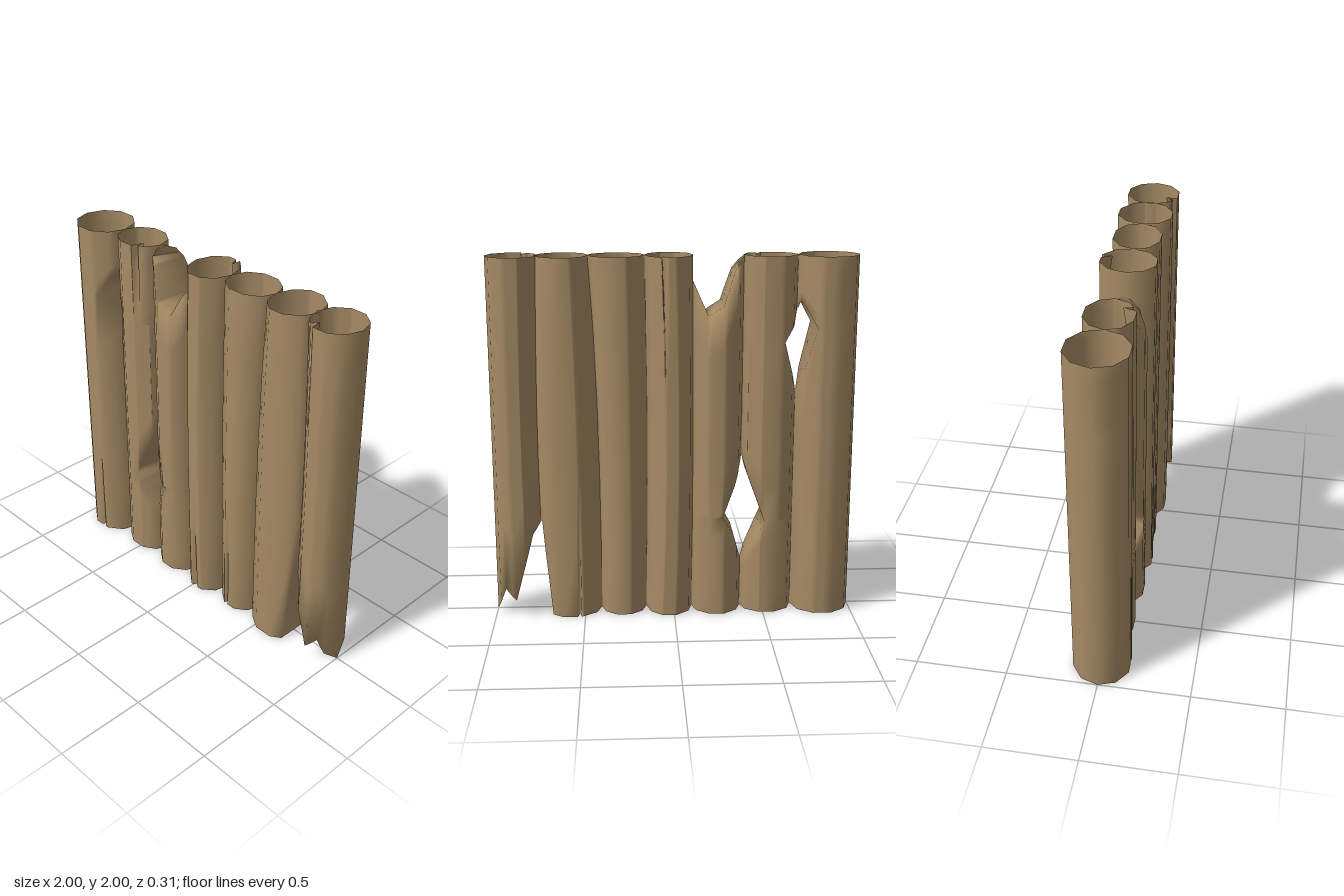
import * as THREE from 'three';
import { mergeVertices } from 'three/addons/utils/BufferGeometryUtils.js';

const ROWS = 5;

// Height of a piecewise-linear [x, y] profile at x
function at(profile, x) {
  if (x <= profile[0][0]) return profile[0][1];
  for (let i = 1; i < profile.length; i++) {
    const [x0, y0] = profile[i - 1], [x1, y1] = profile[i];
    if (x <= x1) return y0 + (y1 - y0) * (x - x0) / (x1 - x0);
  }
  return profile[profile.length - 1][1];
}

const bump = (x, c, w) => Math.max(0, 1 - Math.abs(x - c) / w);

// Gentle bend shared by neighbouring logs so they keep touching
function bend(x, y) {
  const arc = Math.sin(Math.PI * y / 2);
  return x - 0.025 * bump(x, 0.05, 0.2) * arc
    + 0.05 * bump(x, 0.41, 0.24) * (y / 2) ** 3
    + 0.018 * bump(x, 0.735, 0.2) * arc;
}

// A log is a ten-sided tube whose bands run between a lower and an upper
// profile; sloping profile edges are closed by a cut wall from front to back.
function logGeometry({ x0, x1, front, back, bands, cracks = [] }) {
  const pos = [];
  const quad = (a, b, c, d) => pos.push(...a, ...b, ...c, ...a, ...c, ...d);
  const section = [];
  for (let k = 0; k <= 5; k++) {
    const a = Math.PI * k / 5;
    section.push([(x0 + x1) / 2 - (x1 - x0) / 2 * Math.cos(a), k % 5 ? Math.sin(a) / 0.951 : 0]);
  }
  const point = (x, y, side) => {
    let z = at(section, x) * (side > 0 ? front : back);
    for (const c of cracks) {
      if (c.side === side && Math.abs(x - c.x) < 1e-6) {
        z -= 0.055 * Math.max(0, 1 - Math.abs(y - c.end) / c.length);
      }
    }
    return [bend(x, y), y, side * z];
  };
  for (const [lower, upper] of bands) {
    const xs = [...section, ...lower, ...upper].map(p => p[0]);
    for (const c of cracks) xs.push(c.x - 0.025, c.x, c.x + 0.01);
    const cols = [...new Set(xs.map(x => +x.toFixed(4)))]
      .filter(x => x >= x0 - 1e-6 && x <= x1 + 1e-6).sort((a, b) => a - b);
    for (let i = 0; i + 1 < cols.length; i++) {
      const a = cols[i], b = cols[i + 1];
      const la = at(lower, a), lb = at(lower, b), ua = at(upper, a), ub = at(upper, b);
      for (let r = 0; r < ROWS; r++) {
        const s = r / ROWS, t = (r + 1) / ROWS;
        const ya = la + (ua - la) * s, yb = lb + (ub - lb) * s;
        const yc = lb + (ub - lb) * t, yd = la + (ua - la) * t;
        quad(point(a, ya, 1), point(b, yb, 1), point(b, yc, 1), point(a, yd, 1));
        quad(point(b, yb, -1), point(a, ya, -1), point(a, yd, -1), point(b, yc, -1));
      }
      if (Math.abs(ua - ub) > 1e-4) {
        quad(point(a, ua, 1), point(b, ub, 1), point(b, ub, -1), point(a, ua, -1));
      }
      if (Math.abs(la - lb) > 1e-4) {
        quad(point(a, la, -1), point(b, lb, -1), point(b, lb, 1), point(a, la, 1));
      }
    }
  }
  const geo = new THREE.BufferGeometry();
  geo.setAttribute('position', new THREE.Float32BufferAttribute(pos, 3));
  const merged = mergeVertices(geo, 1e-4);
  merged.computeVertexNormals();
  return merged;
}

const ground = [[-1, 0], [1, 0]];
const top = [[-1, 2], [1, 2]];

const logs = [
  { // right half of the upper hole cut away
    x0: -1, x1: -0.67, front: 0.15, back: 0.155,
    bands: [
      [ground, [[-1, 1.62], [-0.765, 1.62], [-0.67, 1.26]]],
      [[[-1, 1.62], [-0.765, 1.62], [-0.685, 1.76], [-0.67, 1.7]], top],
    ],
    cracks: [{ x: -0.81, end: 0, side: 1, length: 0.4 }],
  },
  { // holes on both sides
    x0: -0.67, x1: -0.375, front: 0.12, back: 0.125,
    bands: [
      [ground, [[-0.67, 0.54], [-0.5, 0.54], [-0.375, 0.28]]],
      [[[-0.67, 0.54], [-0.5, 0.54], [-0.405, 0.8], [-0.375, 0.91]],
        [[-0.67, 1.26], [-0.595, 1.54], [-0.375, 1.54]]],
      [[[-0.67, 1.72], [-0.65, 1.63], [-0.595, 1.54], [-0.375, 1.54]], top],
    ],
    cracks: [{ x: -0.455, end: 2, side: 1, length: 0.42 }],
  },
  { // broken top, hole on one side
    x0: -0.38, x1: -0.1, front: 0.13, back: 0.14,
    bands: [
      [ground, [[-0.38, 0.28], [-0.33, 0.46], [-0.265, 0.57], [-0.1, 0.57]]],
      [[[-0.38, 0.91], [-0.335, 0.74], [-0.265, 0.57], [-0.1, 0.57]],
        [[-0.38, 2], [-0.32, 1.92], [-0.26, 1.74], [-0.18, 1.69], [-0.1, 1.87]]],
    ],
  },
  {
    x0: -0.105, x1: 0.155, front: 0.14, back: 0.148,
    bands: [[ground, top]],
    cracks: [{ x: 0.06, end: 2, side: -1, length: 0.4 }, { x: 0.025, end: 0, side: 1, length: 0.3 }],
  },
  {
    x0: 0.155, x1: 0.41, front: 0.12, back: 0.128,
    bands: [[ground, top]],
    cracks: [{ x: 0.26, end: 0, side: 1, length: 0.4 }],
  },
  { // corner broken off at the foot
    x0: 0.405, x1: 0.74, front: 0.14, back: 0.15,
    bands: [[[[0.405, 0], [0.68, 0], [0.72, 0.54], [0.74, 0.53]], top]],
    cracks: [{ x: 0.53, end: 0, side: -1, length: 0.4 }],
  },
  { // broken foot
    x0: 0.72, x1: 1, front: 0.138, back: 0.14,
    bands: [[[[0.72, 0.54], [0.77, 0.48], [0.88, 0.1], [0.94, 0.16], [1, 0]], top]],
    cracks: [{ x: 0.81, end: 2, side: 1, length: 0.3 }],
  },
];

export function createModel() {
  const group = new THREE.Group();
  group.name = 'logPalisade';
  const wood = new THREE.MeshStandardMaterial({ color: 0xa68b65, side: THREE.DoubleSide });
  wood.name = 'weathered wood';
  logs.forEach((spec, i) => {
    const mesh = new THREE.Mesh(logGeometry(spec), wood);
    mesh.name = `log${i + 1}`;
    group.add(mesh);
  });
  return group;
}
